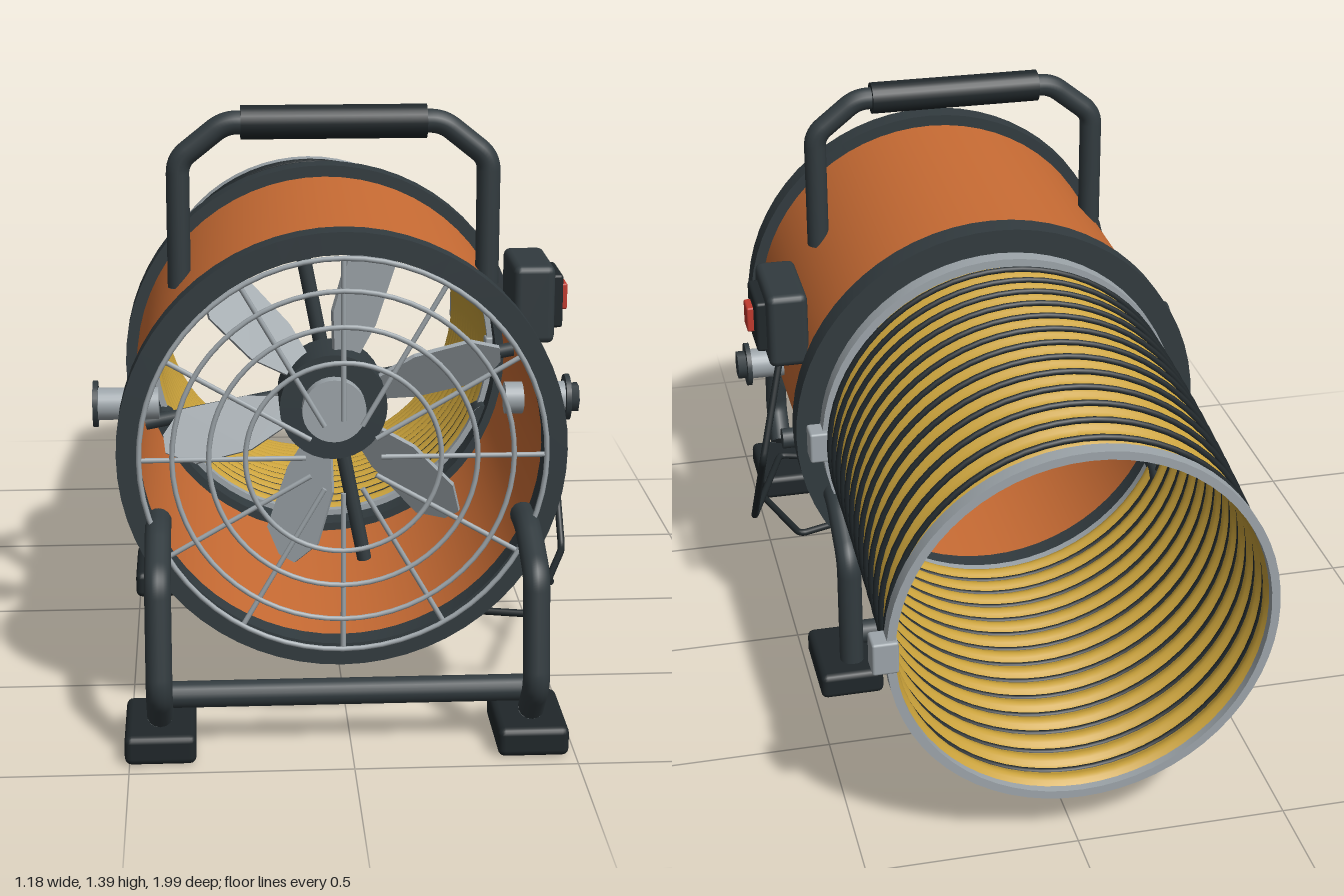
import * as THREE from 'three';
import { toCreasedNormals } from 'three/addons/utils/BufferGeometryUtils.js';
import { RoundedBoxGeometry } from 'three/addons/geometries/RoundedBoxGeometry.js';

const mat = (color) => new THREE.MeshStandardMaterial({ color, side: THREE.DoubleSide });
const V = (x, y, z) => new THREE.Vector3(x, y, z);
const AXIS_Y = 0.658;

export function createModel() {
  const root = new THREE.Group();
  const body = new THREE.Group();
  body.name = 'blower';
  body.position.x = -0.0125;
  root.add(body);

  const orange = mat(0xc96c34), dark = mat(0x323b3f), black = mat(0x20272a);
  const yellow = mat(0xc9a13a), silver = mat(0x9da5aa), red = mat(0xc03a2e);

  const add = (name, geo, material, x = 0, y = 0, z = 0, parent = body) => {
    const m = new THREE.Mesh(geo, material);
    m.name = name;
    m.position.set(x, y, z);
    parent.add(m);
    return m;
  };
  const box = (name, w, h, d, material, x, y, z, r = 0.012) =>
    add(name, new RoundedBoxGeometry(w, h, d, 2, r), material, x, y, z);

  // Hollow band around the z axis
  const band = (name, rOut, rIn, zBack, zFront, material, y = AXIS_Y) => {
    const pts = [[rIn, zBack], [rOut, zBack], [rOut, zFront], [rIn, zFront], [rIn, zBack]];
    const geo = new THREE.LatheGeometry(pts.map(([r, z]) => new THREE.Vector2(r, -z)), 64);
    geo.rotateX(-Math.PI / 2);
    return add(name, toCreasedNormals(geo, 0.6), material, 0, y, 0);
  };

  // Capped tube through points, with rounded bends
  const pipe = (name, pts, r, bend, material) => {
    const g = new THREE.Group();
    g.name = name;
    body.add(g);
    const path = new THREE.CurvePath();
    let from = pts[0];
    for (let i = 1; i < pts.length - 1; i++) {
      const toward = (q) => pts[i].clone().add(q.clone().sub(pts[i]).setLength(bend));
      const a = toward(pts[i - 1]), b = toward(pts[i + 1]);
      path.add(new THREE.LineCurve3(from, a));
      path.add(new THREE.QuadraticBezierCurve3(a, pts[i], b));
      from = b;
    }
    const last = pts[pts.length - 1];
    path.add(new THREE.LineCurve3(from, last));
    add(name + 'Tube', new THREE.TubeGeometry(path, 28 * pts.length, r, 14), material, 0, 0, 0, g);
    [[pts[0], pts[1]], [last, pts[pts.length - 2]]].forEach(([end, next]) => {
      const cap = add(name + 'End', new THREE.CircleGeometry(r, 14), material, end.x, end.y, end.z, g);
      cap.lookAt(end.clone().multiplyScalar(2).sub(next));
    });
  };

  // Drum and end flanges
  band('drum', 0.481, 0.465, -0.1, 0.72, orange);
  band('frontFlange', 0.51, 0.458, 0.688, 0.747, dark);
  band('rearFlange', 0.51, 0.445, -0.115, -0.052, dark);

  // Flexible duct sagging toward its far end
  const Z0 = -0.13, Z1 = -0.97, RINGS = 13, FIRST = -0.19, STEP = 0.0604;
  const sag = (z) => 0.088 * Math.pow(Math.max(0, (Z0 - z) / (Z0 - Z1)), 2);
  const profile = [];
  for (let i = 0; i <= 112; i++) {
    const z = Z0 + (Z1 - Z0) * i / 112;
    const wave = Math.cos(2 * Math.PI * (FIRST - z) / STEP);
    profile.push(new THREE.Vector2(0.43 + 0.006 * wave, -z));
  }
  const duct = new THREE.LatheGeometry(profile, 64);
  duct.rotateX(-Math.PI / 2);
  const p = duct.attributes.position;
  for (let i = 0; i < p.count; i++) p.setY(i, p.getY(i) - sag(p.getZ(i)));
  duct.computeVertexNormals();
  add('duct', duct, yellow, 0, AXIS_Y, 0);
  for (let i = 0; i < RINGS; i++) {
    const z = FIRST - i * STEP;
    add('ductHoop', new THREE.TorusGeometry(0.438, 0.008, 8, 64), black, 0, AXIS_Y - sag(z), z);
  }

  // Duct clamps
  band('frontClamp', 0.452, 0.432, -0.16, -0.12, silver);
  band('rearClamp', 0.452, 0.432, -0.985, -0.948, silver, 0.57);
  box('frontClampLatch', 0.06, 0.08, 0.06, silver, 0.455, 0.655, -0.147, 0.006);
  box('rearClampLatch', 0.06, 0.08, 0.06, silver, 0.455, 0.57, -0.966, 0.006);

  // Front grille
  const grille = new THREE.Group();
  grille.name = 'grille';
  grille.position.set(0, AXIS_Y, 0.78);
  body.add(grille);
  [0.22, 0.302, 0.384, 0.458].forEach((r) =>
    add('grilleRing', new THREE.TorusGeometry(r, 0.006, 8, 64), silver, 0, 0, 0, grille));
  for (let i = 0; i < 12; i++) {
    const a = i * Math.PI / 6;
    const spoke = add('grilleSpoke', new THREE.CylinderGeometry(0.006, 0.006, 0.375, 8), silver,
      Math.cos(a) * 0.2725, Math.sin(a) * 0.2725, -0.004, grille);
    spoke.rotation.z = a - Math.PI / 2;
  }

  // Fan: hub, cap, pitched blades and crossed struts
  const fan = new THREE.Group();
  fan.name = 'fan';
  fan.position.set(0, AXIS_Y, 0.3);
  body.add(fan);
  add('hub', new THREE.CylinderGeometry(0.13, 0.13, 0.16, 32), dark, 0, 0, 0, fan).rotation.x = Math.PI / 2;
  add('hubCap', new THREE.CylinderGeometry(0.077, 0.077, 0.05, 32), silver, 0, 0, 0.09, fan).rotation.x = Math.PI / 2;
  const outline = [[-0.03, 0.1], [-0.072, 0.22], [-0.07, 0.36], [-0.025, 0.425],
    [0.02, 0.42], [0.07, 0.365], [0.06, 0.2], [0.03, 0.1]];
  const blade = new THREE.ExtrudeGeometry(
    new THREE.Shape(outline.map(([x, y]) => new THREE.Vector2(x, y))), { depth: 0.012, bevelEnabled: false });
  for (let i = 0; i < 6; i++) {
    const arm = new THREE.Group();
    arm.name = 'bladeArm';
    arm.rotation.z = (75 + 60 * i - 90) * Math.PI / 180;
    fan.add(arm);
    add('blade', blade, silver, 0, 0, 0, arm).rotation.y = 0.5;
  }
  for (const deg of [11, 101]) {
    const strut = add('strut', new THREE.CylinderGeometry(0.018, 0.018, 0.93, 12), dark, 0, 0, -0.11, fan);
    strut.rotation.z = (deg - 90) * Math.PI / 180;
  }

  // Carry handle with grip
  pipe('handle', [V(-0.365, 0.96, 0.372), V(-0.365, 1.262, 0.372), V(-0.255, 1.35, 0.372),
    V(0.255, 1.35, 0.372), V(0.365, 1.262, 0.372), V(0.365, 0.96, 0.372)], 0.028, 0.03, dark);
  add('grip', new THREE.CylinderGeometry(0.04, 0.04, 0.435, 24), black, 0, 1.35, 0.372).rotation.z = Math.PI / 2;

  // Legs, feet, side pivots
  for (const s of [-1, 1]) {
    const x = 0.418 * s;
    pipe('frontLeg', [V(x, 0.49, 0.7), V(x, 0.49, 0.79), V(x, 0.43, 0.935), V(x, 0.18, 0.972),
      V(x, 0.1, 0.9)], 0.03, 0.035, dark);
    pipe('rearLeg', [V(x, 0.49, -0.08), V(x, 0.49, -0.16), V(x, 0.4, -0.3), V(x, 0.115, -0.3)], 0.03, 0.04, dark);
    box('frontFoot', 0.16, 0.068, 0.236, black, x, 0.038, 0.844, 0.016);
    box('rearFoot', 0.16, 0.068, 0.236, black, x, 0.038, -0.194, 0.016);
    const turn = (name, r, x0, x1, sides, m) => {
      add(name, new THREE.CylinderGeometry(r, r, x1 - x0, sides), m, s * (x0 + x1) / 2, AXIS_Y, 0.318)
        .rotation.z = Math.PI / 2;
    };
    turn('pivotPin', 0.039, 0.42, 0.57, 24, silver);
    turn('pivotWasher', 0.056, 0.566, 0.578, 24, dark);
    if (s > 0) turn('pivotBolt', 0.036, 0.575, 0.6, 6, dark);
  }
  for (const z of [0.857, -0.21])
    add('crossbar', new THREE.CylinderGeometry(0.03, 0.03, 0.84, 16), dark, 0, 0.13, z).rotation.z = Math.PI / 2;

  // Switch box
  box('switchBox', 0.102, 0.195, 0.232, dark, 0.497, 0.875, 0.153, 0.018);
  box('switchBezel', 0.03, 0.134, 0.15, black, 0.558, 0.875, 0.153, 0.008);
  box('switchButton', 0.03, 0.066, 0.06, red, 0.575, 0.877, 0.155, 0.005);

  // Power cord
  pipe('cord', [V(0.515, 0.8, 0.077), V(0.583, 0.545, -0.01), V(0.583, 0.237, 0.244),
    V(0.46, 0.21, 0.614), V(0.24, 0.205, 0.55)], 0.009, 0.02, black);
  pipe('cordTail', [V(0.2, 0.205, 0.27), V(0.47, 0.205, 0.18), V(0.535, 0.205, 0.39)], 0.009, 0.02, black);

  return root;
}
